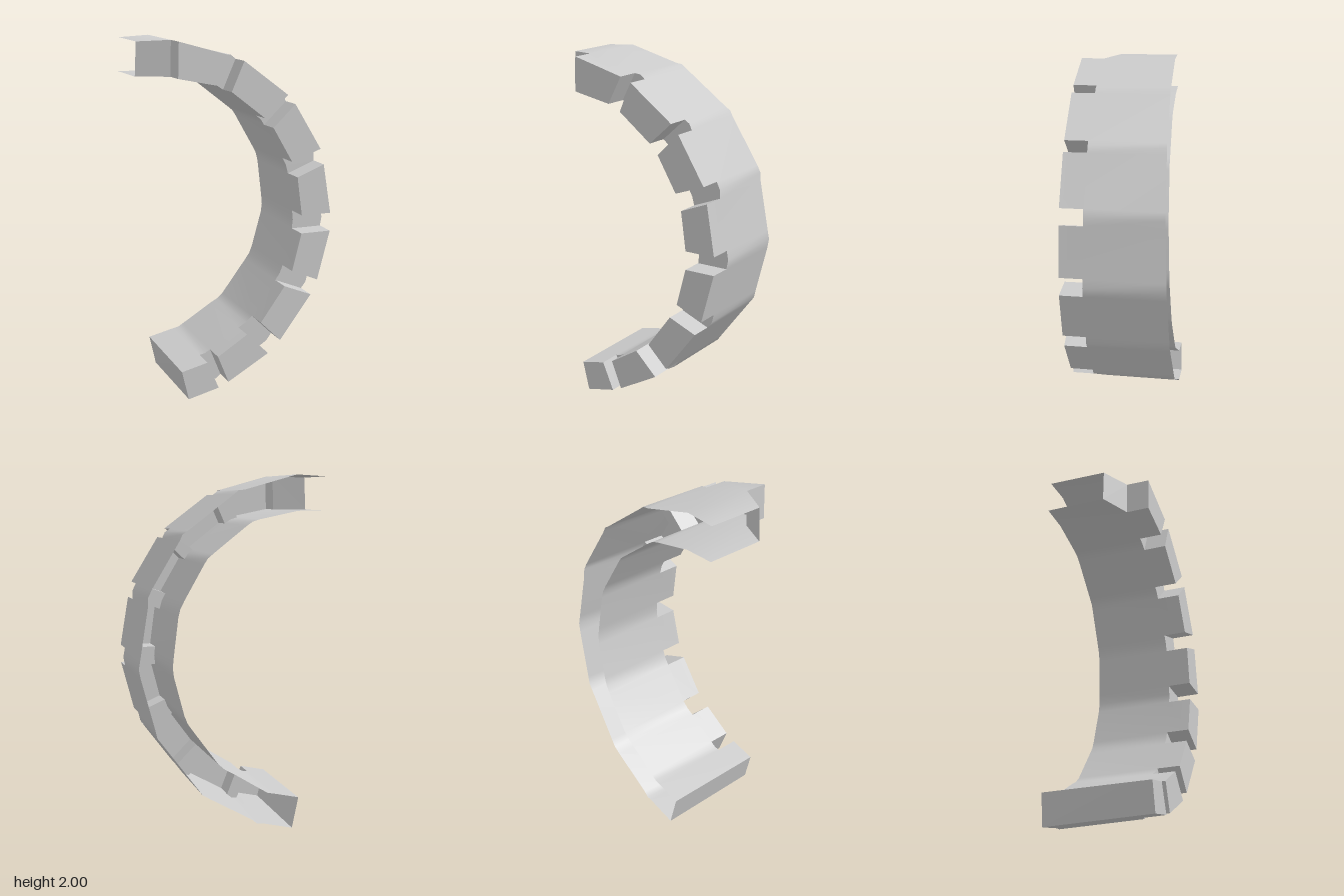
import * as THREE from 'three';
import { mergeVertices } from 'three/addons/utils/BufferGeometryUtils.js';

const FRONT = 0.31, FLOOR = 0.18;
const CENTRE = [-0.35, 1.0];

// Edges of the toothed blocks along the arc, top to bottom:
// [outer x, outer y, inner x, inner y]
const EDGES = [
  [-0.37, 2.0, -0.375, 1.8], [-0.065, 1.917, -0.15, 1.755],
  [0.0, 1.89, -0.075, 1.72], [0.26, 1.697, 0.12, 1.57],
  [0.305, 1.645, 0.17, 1.515], [0.465, 1.385, 0.285, 1.32],
  [0.487, 1.295, 0.32, 1.23], [0.535, 1.01, 0.35, 1.01],
  [0.535, 0.905, 0.35, 0.905], [0.46, 0.62, 0.295, 0.69],
  [0.42, 0.535, 0.25, 0.605], [0.23, 0.28, 0.105, 0.405],
  [0.155, 0.21, 0.02, 0.345], [-0.09, 0.07, -0.155, 0.235],
  [-0.15, 0.043, -0.22, 0.21], [-0.33, 0.0, -0.37, 0.175],
];
const TOP_END = [-0.54, 1.99, -0.548, 1.8];

// The back rim leans; the outer skin tapers slightly towards the front
const backZ = (y) => -0.31 + 0.041 * y;
function outer(s, z) {
  const k = 1 - 0.008 * (z + 0.31) / 0.62;
  return [CENTRE[0] + (s[0] - CENTRE[0]) * k, CENTRE[1] + (s[1] - CENTRE[1]) * k, z];
}
const inner = (s, z) => [s[2], s[3], z];

// Corner of the arc in the middle of a notch, pushed out a little
function notchCorner(a, b) {
  const m = a.map((v, i) => (v + b[i]) / 2);
  return m.map((v, i) => {
    const c = CENTRE[i % 2];
    return c + (v - c) * (i < 2 ? 1.011 : 1.008);
  });
}

function quad(list, a, b, c, d) {
  list.push(...a, ...b, ...c, ...a, ...c, ...d);
}

function addMesh(group, name, list, smooth) {
  let geometry = new THREE.BufferGeometry();
  geometry.setAttribute('position', new THREE.Float32BufferAttribute(list, 3));
  if (smooth) geometry = mergeVertices(geometry, 1e-4);
  geometry.computeVertexNormals();
  const mesh = new THREE.Mesh(geometry, new THREE.MeshStandardMaterial({
    color: 0xcccccc, side: THREE.DoubleSide, flatShading: !smooth,
  }));
  mesh.name = name;
  group.add(mesh);
}

export function createModel() {
  const group = new THREE.Group();
  group.name = 'notchedArcShell';
  const outerSkin = [], innerSkin = [], faces = [], walls = [];

  // Strip of both skins between two stations
  function skins(a, b, a0, a1, b0, b1) {
    quad(outerSkin, outer(a, a0), outer(a, a1), outer(b, b1), outer(b, b0));
    quad(innerSkin, inner(a, a0), inner(b, b0), inner(b, b1), inner(a, a1));
  }
  function mainSkins(a, b, za = FLOOR, zb = FLOOR) {
    quad(outerSkin, outer(a, backZ(a[1])), outer(a, za), outer(b, zb), outer(b, backZ(b[1])));
    quad(innerSkin, inner(a, backZ(a[3])), inner(b, backZ(b[3])), inner(b, zb), inner(a, za));
  }
  function frontFace(a, b, za, zb) {
    quad(faces, inner(a, za), inner(b, zb), outer(b, zb), outer(a, za));
  }
  // Radial wall looking along the arc (towards its end, or its start)
  function wall(s, zo, zi, z1, towardsEnd) {
    const c = [outer(s, zo), outer(s, z1), inner(s, z1), inner(s, zi)];
    if (!towardsEnd) c.reverse();
    quad(walls, ...c);
  }

  // Chamfered tongue at the top, left open at its tip
  mainSkins(TOP_END, EDGES[0], 0.1, FLOOR);
  frontFace(TOP_END, EDGES[0], 0.1, FLOOR);

  for (let i = 0; i < EDGES.length; i += 2) {
    // Raised block
    const a = EDGES[i], b = EDGES[i + 1];
    mainSkins(a, b);
    skins(a, b, FLOOR, FRONT, FLOOR, FRONT);
    frontFace(a, b, FRONT, FRONT);
    wall(a, FLOOR, FLOOR, FRONT, false);
    const last = i + 2 >= EDGES.length;
    wall(b, FLOOR, FLOOR, FRONT, true);
    if (last) {
      wall(b, backZ(b[1]), backZ(b[3]), FLOOR, true);
      continue;
    }
    // Notch after the block
    const next = EDGES[i + 2], mid = notchCorner(b, next);
    for (const [p, q] of [[b, mid], [mid, next]]) {
      mainSkins(p, q);
      frontFace(p, q, FLOOR, FLOOR);
    }
  }

  addMesh(group, 'outerSkin', outerSkin, true);
  addMesh(group, 'innerSkin', innerSkin, true);
  addMesh(group, 'frontFaces', faces, false);
  addMesh(group, 'notchWalls', walls, false);
  return group;
}
